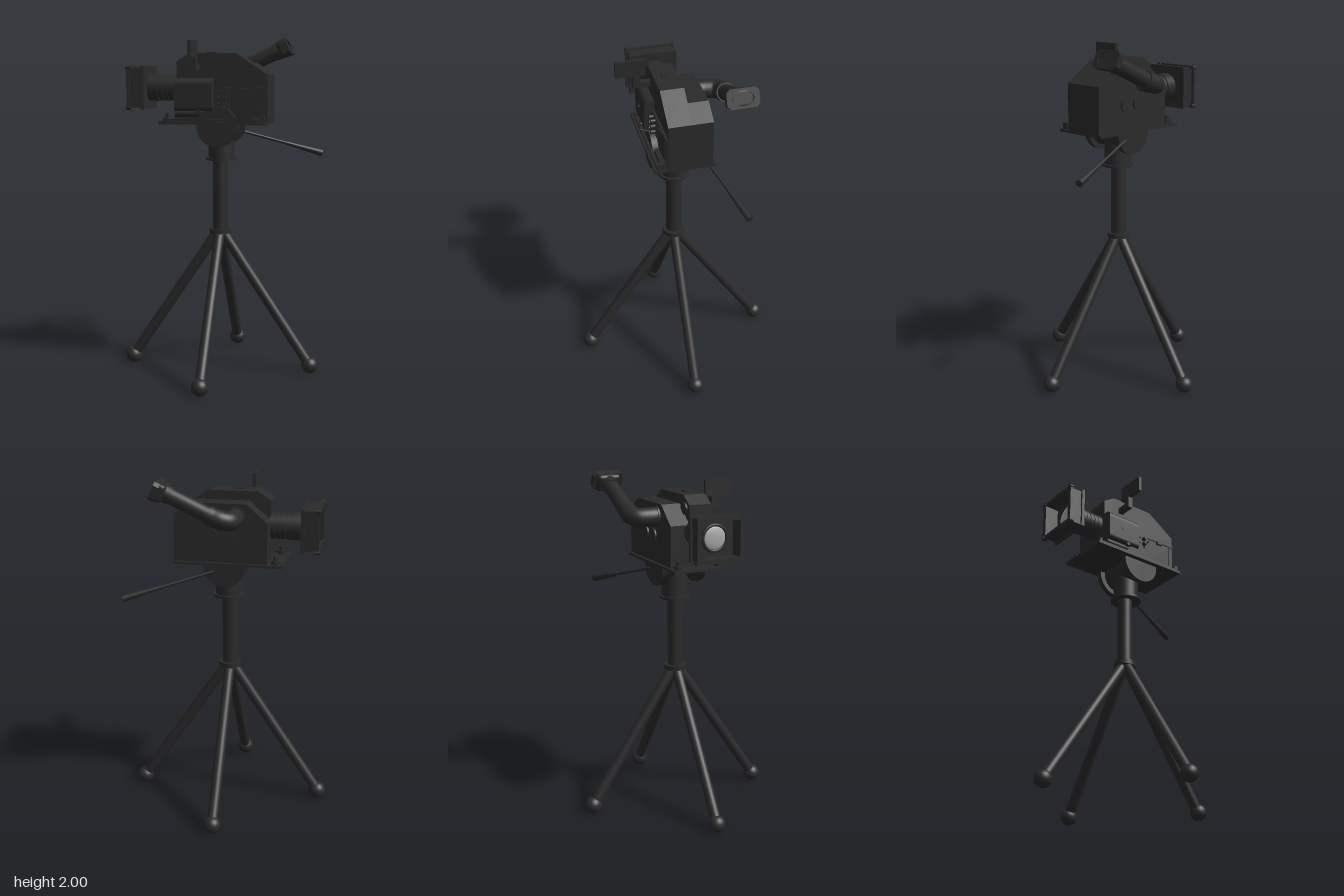
import * as THREE from 'three';
import { RoundedBoxGeometry } from 'three/addons/geometries/RoundedBoxGeometry.js';

const dark = new THREE.MeshStandardMaterial({ color: 0x2a2a2a });
const glass = new THREE.MeshStandardMaterial({ color: 0xaaaaaa });
const V = (x, y, z) => new THREE.Vector3(x, y, z);

export function createModel() {
  const root = new THREE.Group();
  const group = (name) => {
    const g = new THREE.Group();
    g.name = name;
    root.add(g);
    return g;
  };
  const add = (parent, name, geo, mat = dark) => {
    const m = new THREE.Mesh(geo, mat);
    m.name = name;
    parent.add(m);
    return m;
  };
  // box given by its limits on each axis
  const box = (parent, name, x0, x1, y0, y1, z0, z1) => {
    const m = add(parent, name, new THREE.BoxGeometry(x1 - x0, y1 - y0, z1 - z0));
    m.position.set((x0 + x1) / 2, (y0 + y1) / 2, (z0 + z1) / 2);
    return m;
  };
  // round bar from a to b
  const rod = (parent, name, a, b, r0, r1 = r0, mat = dark) => {
    const d = b.clone().sub(a);
    const m = add(parent, name, new THREE.CylinderGeometry(r1, r0, d.length(), 32), mat);
    m.position.copy(a).addScaledVector(d, 0.5);
    m.quaternion.setFromUnitVectors(V(0, 1, 0), d.normalize());
    return m;
  };
  const polygon = (pts) => new THREE.Shape(pts.map(([x, y]) => new THREE.Vector2(x, y)));
  const rect = (w, h) => [[-w / 2, -h / 2], [w / 2, -h / 2], [w / 2, h / 2], [-w / 2, h / 2]];
  const slab = (parent, name, shape, z0, z1) => {
    const m = add(parent, name, new THREE.ExtrudeGeometry(shape, { depth: z1 - z0, bevelEnabled: false, curveSegments: 12 }));
    m.position.z = z0;
    return m;
  };

  // tripod
  const tripod = group('tripod');
  for (let i = 0; i < 4; i++) {
    const a = (i * Math.PI) / 2, c = Math.cos(a), s = Math.sin(a);
    rod(tripod, 'leg', V(0.01 * c, 0.855, 0.01 * s), V(0.55 * c, 0.05, 0.55 * s), 0.031);
    const foot = add(tripod, 'foot', new THREE.SphereGeometry(0.05, 32, 20));
    foot.position.set(0.55 * c, 0.05, 0.55 * s);
  }
  rod(tripod, 'column', V(0, 0.83, 0), V(0, 1.32, 0), 0.045);
  rod(tripod, 'collar', V(0, 0.84, 0), V(0, 0.868, 0), 0.065);

  // tilting head
  const head = group('tripodHead');
  rod(head, 'headFlange', V(0.008, 1.28, 0), V(0.008, 1.295, 0), 0.092);
  rod(head, 'headNeck', V(0.008, 1.29, 0), V(0.008, 1.47, 0), 0.077);
  rod(head, 'tiltDrum', V(0.01, 1.485, -0.12), V(0.01, 1.485, 0.13), 0.09);
  rod(head, 'tiltDisc', V(0.01, 1.485, 0.115), V(0.01, 1.485, 0.15), 0.12);
  rod(head, 'tiltDisc', V(0.01, 1.485, -0.135), V(0.01, 1.485, -0.1), 0.12);

  // pan handle
  const handle = group('panHandle');
  rod(handle, 'handleRod', V(0.07, 1.455, -0.13), V(0.38, 1.365, -0.225), 0.009);
  rod(handle, 'handleGrip', V(0.36, 1.371, -0.219), V(0.575, 1.308, -0.282), 0.011, 0.021);

  // base plate with rails and studs
  const base = group('basePlate');
  box(base, 'plate', -0.33, 0.3, 1.498, 1.514, -0.165, 0.18);
  box(base, 'plateRim', -0.31, 0.29, 1.51, 1.53, 0.145, 0.165);
  box(base, 'sideRail', -0.24, 0.28, 1.51, 1.54, 0.105, 0.14);
  for (const z of [-0.12, 0.13]) {
    rod(base, 'studBase', V(-0.285, 1.51, z), V(-0.285, 1.535, z), 0.027);
    rod(base, 'stud', V(-0.285, 1.53, z), V(-0.285, 1.56, z), 0.015);
  }
  box(base, 'endStop', 0.268, 0.29, 1.51, 1.55, 0.13, 0.165);

  // camera body: tall near side, lower far side
  const body = group('cameraBody');
  slab(body, 'mainHousing', polygon([[-0.24, 1.512], [0.3, 1.512], [0.3, 1.785], [0.115, 1.908],
    [-0.165, 1.908], [-0.24, 1.86]]), -0.03, 0.105);
  slab(body, 'backHousing', polygon([[-0.24, 1.512], [0.3, 1.512], [0.3, 1.785], [0.19, 1.855],
    [-0.12, 1.855], [-0.24, 1.75]]), -0.147, -0.03);
  box(body, 'topButton', -0.07, -0.015, 1.9, 1.916, 0.03, 0.056);
  rod(body, 'frontDial', V(-0.18, 1.835, -0.04), V(-0.18, 1.835, -0.025), 0.035);
  for (const x of [-0.015, 0.085])
    rod(body, 'backCap', V(x, 1.665, -0.157), V(x, 1.665, -0.14), 0.044);

  // equipment on the front side
  const side = group('sideEquipment');
  const cover = new THREE.Shape();
  cover.moveTo(-0.1, 1.575);
  cover.lineTo(-0.1, 1.765);
  cover.lineTo(-0.135, 1.765);
  cover.quadraticCurveTo(-0.165, 1.76, -0.165, 1.72);
  cover.lineTo(-0.165, 1.6);
  cover.quadraticCurveTo(-0.165, 1.575, -0.14, 1.575);
  cover.closePath();
  const coverMesh = slab(side, 'sideCover', cover, 0, 0.225);
  coverMesh.rotation.y = Math.PI / 2;
  coverMesh.position.set(-0.24, 0, 0);
  rod(side, 'coverScrew', V(-0.14, 1.67, 0.16), V(-0.14, 1.67, 0.17), 0.009);
  rod(side, 'lowerTube', V(-0.24, 1.56, 0.125), V(0.08, 1.56, 0.125), 0.022);
  rod(side, 'lowerKnob', V(-0.1, 1.575, 0.14), V(-0.1, 1.575, 0.17), 0.011);
  box(side, 'sidePanel', 0.085, 0.29, 1.535, 1.71, 0.1, 0.113);
  box(side, 'panelTrim', 0.08, 0.295, 1.705, 1.714, 0.1, 0.12);
  box(side, 'panelTrim', 0.262, 0.269, 1.535, 1.71, 0.1, 0.118);
  box(side, 'panelLatch', 0.16, 0.2, 1.69, 1.708, 0.11, 0.128);
  box(side, 'connectorPlate', -0.015, 0.08, 1.585, 1.71, 0.1, 0.118);
  for (let i = 0; i < 2; i++) for (let j = 0; j < 3; j++) {
    const x = 0.01 + i * 0.045, y = 1.615 + j * 0.035;
    rod(side, 'connector', V(x, y, 0.11), V(x, y, 0.145), 0.012);
  }
  rod(side, 'switchLever', V(0.03, 1.6, 0.14), V(0.03, 1.625, 0.2), 0.003);

  // sight finder on its bracket
  const finder = group('sightFinder');
  box(finder, 'bracketArm', -0.132, -0.1, 1.812, 1.845, 0.1, 0.205);
  box(finder, 'bracketPost', -0.132, -0.1, 1.812, 1.885, 0.165, 0.205);
  box(finder, 'sightPlate', -0.126, -0.106, 1.885, 1.98, 0.13, 0.302);

  // lens with ribbed barrel
  const lens = group('lens');
  const ly = 1.708, lz = 0.015;
  rod(lens, 'innerBarrel', V(-0.38, ly, lz), V(-0.23, ly, lz), 0.07);
  for (let i = 0; i < 4; i++) {
    const x = -0.358 + i * 0.03;
    rod(lens, 'barrelRing', V(x, ly, lz), V(x + 0.026, ly, lz), 0.077);
  }
  rod(lens, 'frontBarrel', V(-0.45, ly, lz), V(-0.362, ly, lz), 0.08);
  const rimRing = add(lens, 'lensRim', new THREE.TorusGeometry(0.072, 0.009, 12, 40));
  rimRing.rotation.y = Math.PI / 2;
  rimRing.position.set(-0.452, ly, lz);
  const bulge = add(lens, 'lensGlass', new THREE.SphereGeometry(0.07, 32, 16), glass);
  bulge.scale.x = 0.25;
  bulge.position.set(-0.449, ly, lz);

  // open matte box
  const matte = group('matteBox');
  const frame = (name, x0, x1, w, h, hole) => {
    const s = polygon(rect(w, h));
    if (hole) s.holes.push(new THREE.Path(polygon(rect(...hole)).getPoints()));
    const m = slab(matte, name, s, 0, x1 - x0);
    m.rotation.y = Math.PI / 2;
    m.position.set(x0, ly, lz);
  };
  frame('frontFrame', -0.53, -0.512, 0.29, 0.25, [0.235, 0.205]);
  frame('hoodWalls', -0.512, -0.44, 0.262, 0.232, [0.235, 0.205]);
  frame('rearFrame', -0.444, -0.425, 0.285, 0.25);
  for (const sy of [-1, 1]) for (const sz of [-1, 1])
    rod(matte, 'cornerBolt', V(-0.535, ly + sy * 0.117, lz + sz * 0.137), V(-0.505, ly + sy * 0.117, lz + sz * 0.137), 0.012);

  // eyepiece: elbow, sloping tube and flared cup
  const eye = group('eyepiece');
  const bend = new THREE.CatmullRomCurve3([V(-0.055, 1.782, -0.13), V(-0.055, 1.78, -0.2),
    V(-0.04, 1.78, -0.255), V(0, 1.79, -0.28), V(0.04, 1.804, -0.281)]);
  add(eye, 'elbow', new THREE.TubeGeometry(bend, 32, 0.054, 28));
  rod(eye, 'elbowFlange', V(-0.055, 1.782, -0.158), V(-0.055, 1.782, -0.14), 0.06);
  const arm = new THREE.Group();
  arm.name = 'eyepieceArm';
  arm.position.set(-0.02, 1.775, -0.28);
  arm.rotation.z = 0.43;
  eye.add(arm);
  rod(arm, 'tubeCollar', V(0.03, 0, 0), V(0.1, 0, 0), 0.053);
  rod(arm, 'viewTube', V(0.09, 0, 0), V(0.36, 0, 0), 0.046);
  rod(arm, 'endCollar', V(0.33, 0, 0), V(0.375, 0, 0), 0.051);
  const cupCore = add(arm, 'cupCore', new RoundedBoxGeometry(0.06, 0.104, 0.14, 3, 0.02));
  cupCore.position.set(0.392, 0, 0);
  const cupShape = polygon([[-0.09, -0.035], [-0.07, -0.054], [0.07, -0.054], [0.09, -0.035],
    [0.09, 0.035], [0.07, 0.054], [-0.07, 0.054], [-0.09, 0.035]]);
  const opening = new THREE.Path();
  opening.absellipse(0, 0, 0.06, 0.04, 0, Math.PI * 2);
  cupShape.holes.push(opening);
  const cup = slab(arm, 'eyeCup', cupShape, 0, 0.035);
  cup.rotation.y = Math.PI / 2;
  cup.position.set(0.395, 0, 0);

  return root;
}
